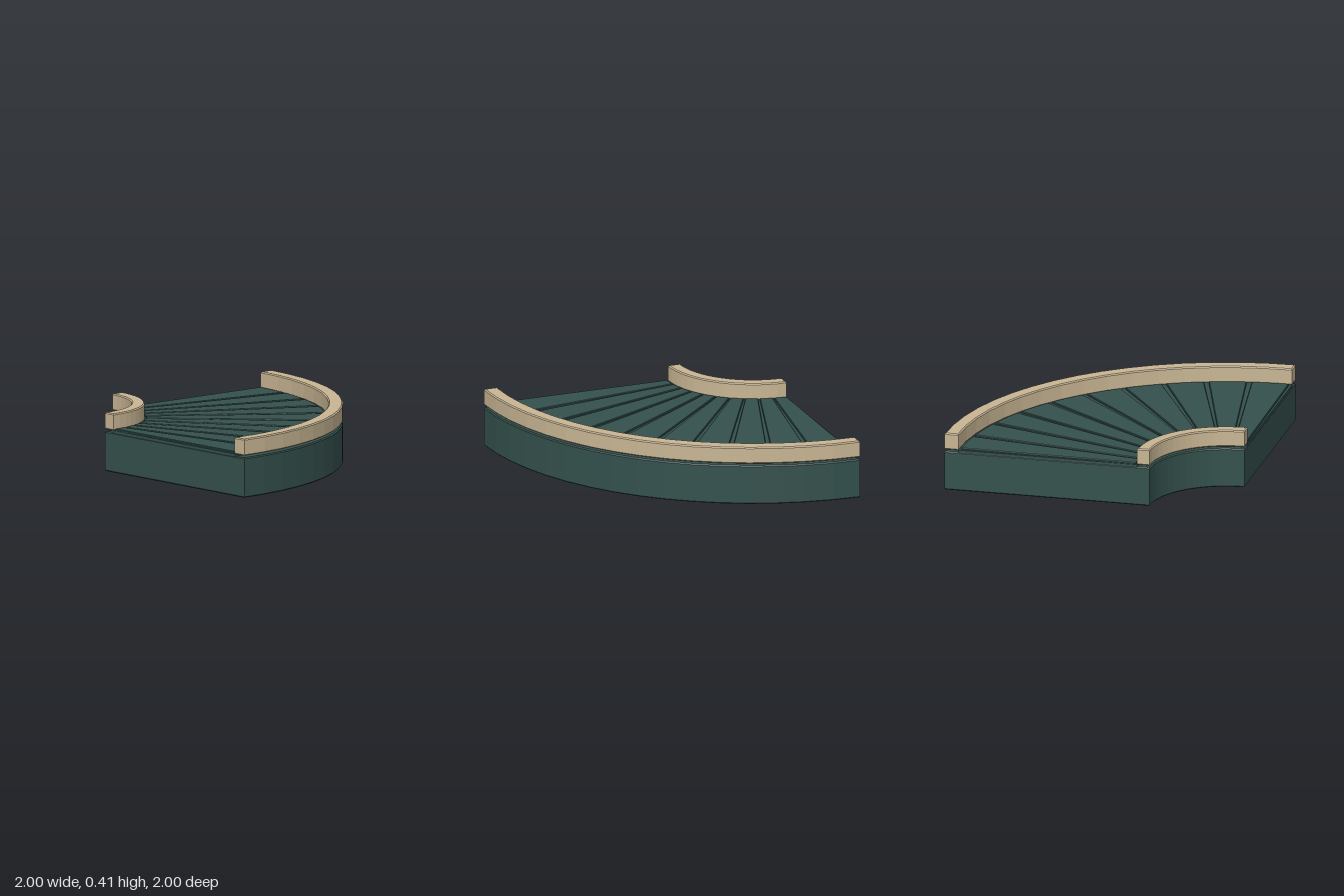
import * as THREE from 'three';

const QUARTER = Math.PI / 2;

// Ring sector in plan, swept from angle a0 to a1, standing from y0 to y1 with a small bevel
function sector(r0, r1, a0, a1, segments, y0, y1, bevel) {
  const points = [];
  const arc = (r, from, to) => {
    for (let i = 0; i <= segments; i++) {
      const a = from + (to - from) * i / segments;
      points.push(new THREE.Vector2(r * Math.cos(a), r * Math.sin(a)));
    }
  };
  arc(r1, a0, a1);
  arc(r0, a1, a0);
  const geometry = new THREE.ExtrudeGeometry(new THREE.Shape(points), {
    depth: y1 - y0 - 2 * bevel,
    bevelEnabled: bevel > 0,
    bevelThickness: bevel,
    bevelSize: bevel,
    bevelOffset: -bevel,
    bevelSegments: 1,
  });
  geometry.rotateX(Math.PI / 2);
  geometry.translate(-1, y1 - bevel, -1); // arc centre sits at the back right corner
  return geometry;
}

export function createModel() {
  const group = new THREE.Group();
  const green = new THREE.MeshStandardMaterial({ color: 0x34514d });
  green.name = 'dark green';
  const tan = new THREE.MeshStandardMaterial({ color: 0xc9b694 });
  tan.name = 'tan';

  const add = (name, material, ...args) => {
    const mesh = new THREE.Mesh(sector(...args), material);
    mesh.name = name;
    group.add(mesh);
  };

  // Body and the thin bed that carries the slats
  add('base', green, 0.54, 2, 0, QUARTER, 16, 0, 0.28, 0.008);
  add('bed', green, 0.63, 1.905, 0, QUARTER, 16, 0.275, 0.296, 0);

  // Curved side rails
  add('innerRail', tan, 0.54, 0.63, 0, QUARTER, 16, 0.294, 0.412, 0.008);
  add('outerRail', tan, 1.9, 2, 0, QUARTER, 16, 0.294, 0.412, 0.008);

  // Ten tapered slats with narrow gaps between them
  const count = 10;
  const step = QUARTER / count;
  const gap = 0.0095;
  for (let i = 0; i < count; i++) {
    add('slat' + (i + 1), green, 0.64, 1.887, i * step + gap, (i + 1) * step - gap, 3, 0.285, 0.308, 0.004);
  }
  return group;
}
